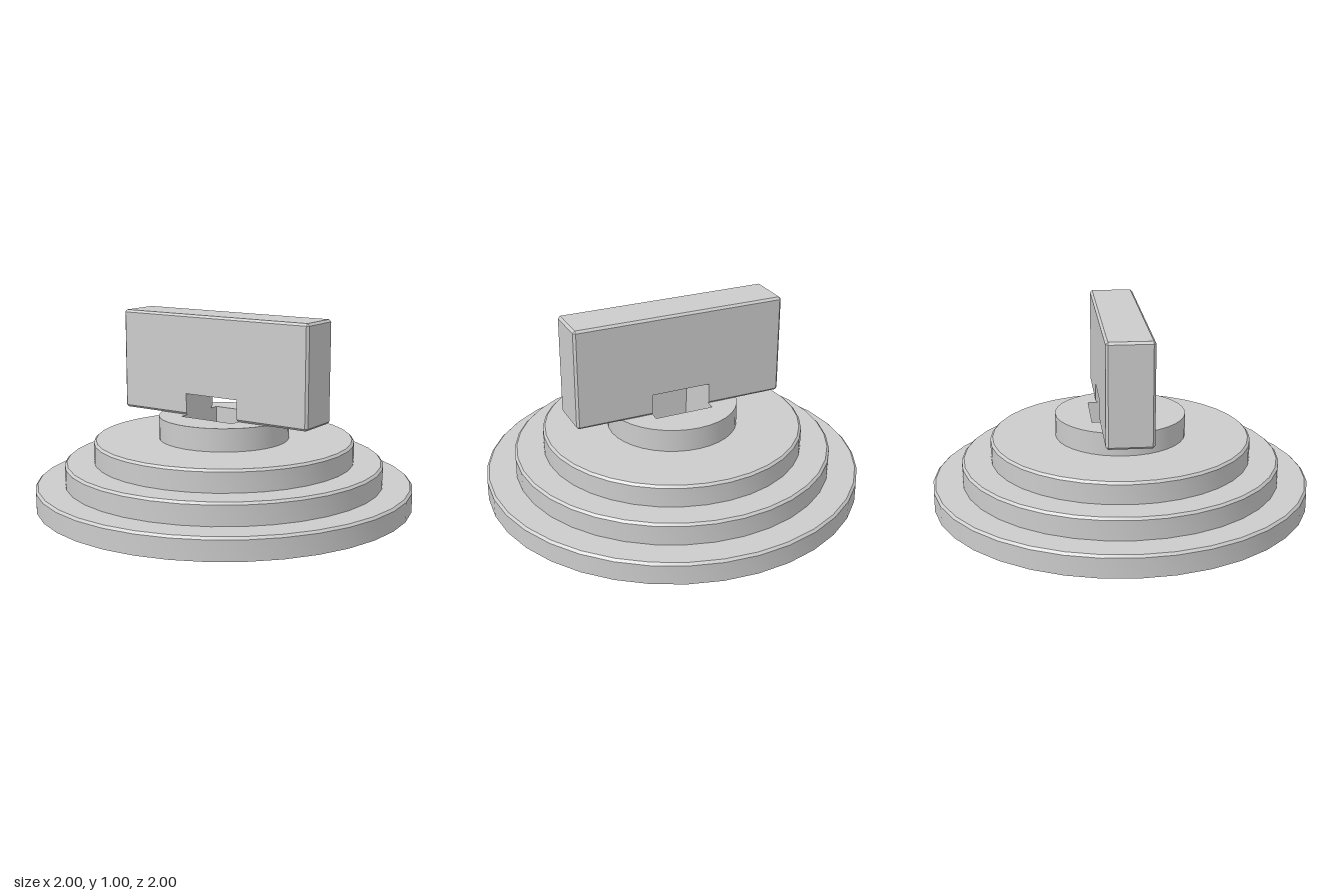
import * as THREE from 'three';
import { toCreasedNormals } from 'three/addons/utils/BufferGeometryUtils.js';
import { ConvexGeometry } from 'three/addons/geometries/ConvexGeometry.js';

const SEGMENTS = 36;
const STEP = 0.115;      // height of every tier
const CHAMFER = 0.012;
const HOLE = 0.16;       // half width of the square hole and the handle notch

export function createModel() {
  const group = new THREE.Group();
  const material = new THREE.MeshStandardMaterial({ color: 0xcccccc });

  const add = (name, geometry) => {
    const mesh = new THREE.Mesh(geometry, material);
    mesh.name = name;
    group.add(mesh);
  };

  // Turned part from [radius, height] pairs
  const turned = (name, profile) => {
    const points = profile.map(([r, y]) => new THREE.Vector2(r, y));
    add(name, toCreasedNormals(new THREE.LatheGeometry(points, SEGMENTS), 0.5));
  };

  // Outer wall, chamfer and top of a tier
  const tier = (radius, bottom, top, innerRadius) => [
    [radius, bottom], [radius, top - CHAMFER], [radius - CHAMFER, top], [innerRadius, top],
  ];

  // Base with a hollow underside and a round socket in its middle
  turned('base', [
    [0.29, 0.2], [0.29, 0.11], [0.935, 0.11], [0.935, 0],
    ...tier(1, 0, STEP, 0.82),
  ]);
  turned('middleTier', tier(0.845, STEP, 2 * STEP, 0.67));
  turned('upperTier', tier(0.69, 2 * STEP, 3 * STEP, 0.33));

  // Round pedestal with a square hole down to the socket
  const disc = new THREE.Shape().absarc(0, 0, 0.345, 0, Math.PI * 2);
  disc.holes.push(new THREE.Path([
    [-HOLE, -HOLE], [-HOLE, HOLE], [HOLE, HOLE], [HOLE, -HOLE], [-HOLE, -HOLE],
  ].map(([x, y]) => new THREE.Vector2(x, y))));
  const pedestal = new THREE.ExtrudeGeometry(disc, {
    depth: 0.265, bevelEnabled: false, curveSegments: SEGMENTS / 2,
  });
  pedestal.rotateX(-Math.PI / 2).translate(0, 0.2, 0);
  add('pedestal', toCreasedNormals(pedestal, 0.5));

  // Handle: two chamfered side blocks joined by a bridge above the notch
  const low = 0.465, high = 1, halfLength = 0.575, halfDepth = 0.12, c = CHAMFER;
  const section = (x, bottom, bottomChamfer) => [1, -1].flatMap((s) => [
    [x, bottom, s * (halfDepth - bottomChamfer)],
    [x, bottom + bottomChamfer, s * halfDepth],
    [x, high - c, s * halfDepth],
    [x, high, s * (halfDepth - c)],
  ]);
  const hull = (points) => new ConvexGeometry(points.map((p) => new THREE.Vector3(...p)));

  for (const [name, side] of [['handleLeft', 1], ['handleRight', -1]]) {
    const cap = [low + c, high - c].flatMap((y) =>
      [1, -1].map((s) => [side * halfLength, y, s * (halfDepth - c)]));
    add(name, hull([
      ...section(side * HOLE, low, c),
      ...section(side * (halfLength - c), low, c),
      ...cap,
    ]));
  }
  const bridge = [-HOLE, HOLE].flatMap((x) =>
    section(x, 0.58, 0).filter((p, i) => i % 4 !== 1));
  add('handleBridge', hull(bridge));

  return group;
}
